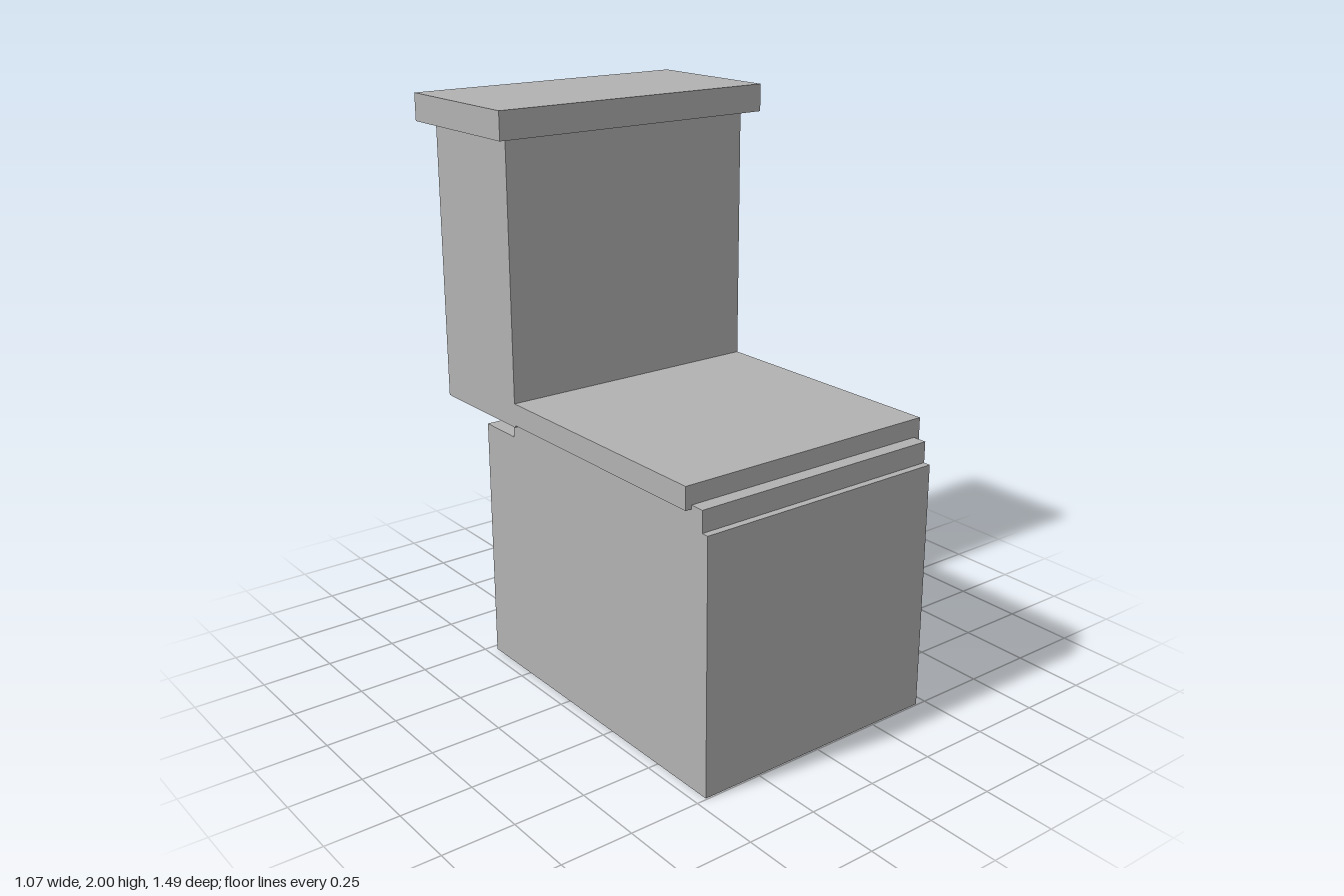
import * as THREE from 'three';

export function createModel() {
  const group = new THREE.Group();
  const grey = new THREE.MeshStandardMaterial({ color: 0xb2b2b2 });
  grey.name = 'grey';

  // Box centred on x, given its half width and its y and z ranges
  function addBox(name, halfWidth, y0, y1, z0, z1) {
    const mesh = new THREE.Mesh(new THREE.BoxGeometry(halfWidth * 2, y1 - y0, z1 - z0), grey);
    mesh.name = name;
    mesh.position.set(0, (y0 + y1) / 2, (z0 + z1) / 2);
    group.add(mesh);
  }

  // Bowl, with the seat and its cover stacked on top
  addBox('bowlBase', 0.463, 0, 0.88, -0.475, 0.745);
  addBox('seat', 0.463, 0.88, 0.953, -0.303, 0.72);
  addBox('seatCover', 0.486, 0.94, 1.017, -0.256, 0.67);

  // Water tank behind the seat, with an overhanging lid
  addBox('tank', 0.486, 0.932, 1.905, -0.695, -0.256);
  addBox('tankLid', 0.535, 1.905, 2, -0.745, -0.207);

  return group;
}
